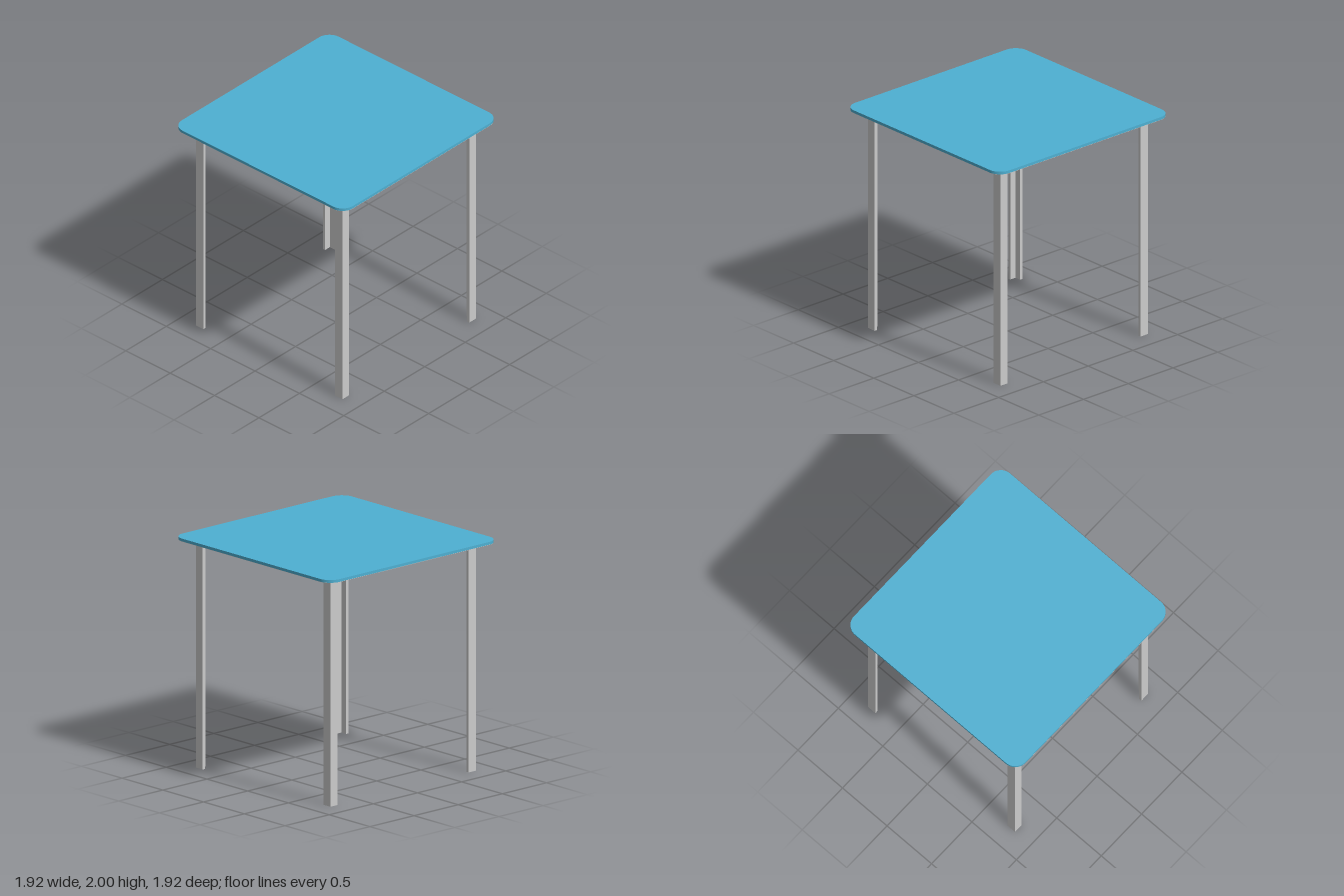
import * as THREE from 'three';
import { toCreasedNormals } from 'three/addons/utils/BufferGeometryUtils.js';

const grey = new THREE.MeshStandardMaterial({ color: 0xcccccc });
const blue = new THREE.MeshStandardMaterial({ color: 0x4eb0d2 });

// Square outline with rounded corners, half width h and corner radius r
function roundedSquare(h, r) {
  const s = new THREE.Shape();
  const c = h - r;
  s.absarc(c, c, r, 0, Math.PI / 2);
  s.absarc(-c, c, r, Math.PI / 2, Math.PI);
  s.absarc(-c, -c, r, Math.PI, Math.PI * 1.5);
  s.absarc(c, -c, r, Math.PI * 1.5, Math.PI * 2);
  s.closePath();
  return s;
}

// Horizontal outline extruded upwards from y0 to y1
function slab(name, shape, y0, y1, material) {
  const raw = new THREE.ExtrudeGeometry(shape, { depth: y1 - y0, bevelEnabled: false, curveSegments: 12 });
  raw.rotateX(-Math.PI / 2).translate(0, y0, 0);
  const mesh = new THREE.Mesh(toCreasedNormals(raw, 0.6), material);
  mesh.name = name;
  return mesh;
}

export function createModel() {
  const table = new THREE.Group();
  table.name = 'table';

  // Coloured top with a thin grey underside
  const outline = roundedSquare(0.962, 0.115);
  table.add(slab('tableTop', outline, 1.976, 2, blue));
  table.add(slab('topUnderside', outline, 1.974, 1.976, grey));

  // Thin support plate sitting inside the legs
  const plate = new THREE.Mesh(new THREE.BoxGeometry(1.6, 0.01, 1.6), grey);
  plate.name = 'supportPlate';
  plate.position.y = 1.969;
  table.add(plate);

  // Angle-section legs, the corner of each L pointing outwards
  const o = 0.825, i = 0.742, t = 0.025;
  const section = new THREE.Shape([
    [o, o], [i, o], [i, o - t], [o - t, o - t], [o - t, i], [o, i],
  ].map(([x, y]) => new THREE.Vector2(x, y)));
  ['backLeftLeg', 'backRightLeg', 'frontRightLeg', 'frontLeftLeg'].forEach((name, k) => {
    const leg = slab(name, section, 0, 1.974, grey);
    leg.rotation.y = k * Math.PI / 2;
    table.add(leg);
  });

  return table;
}
